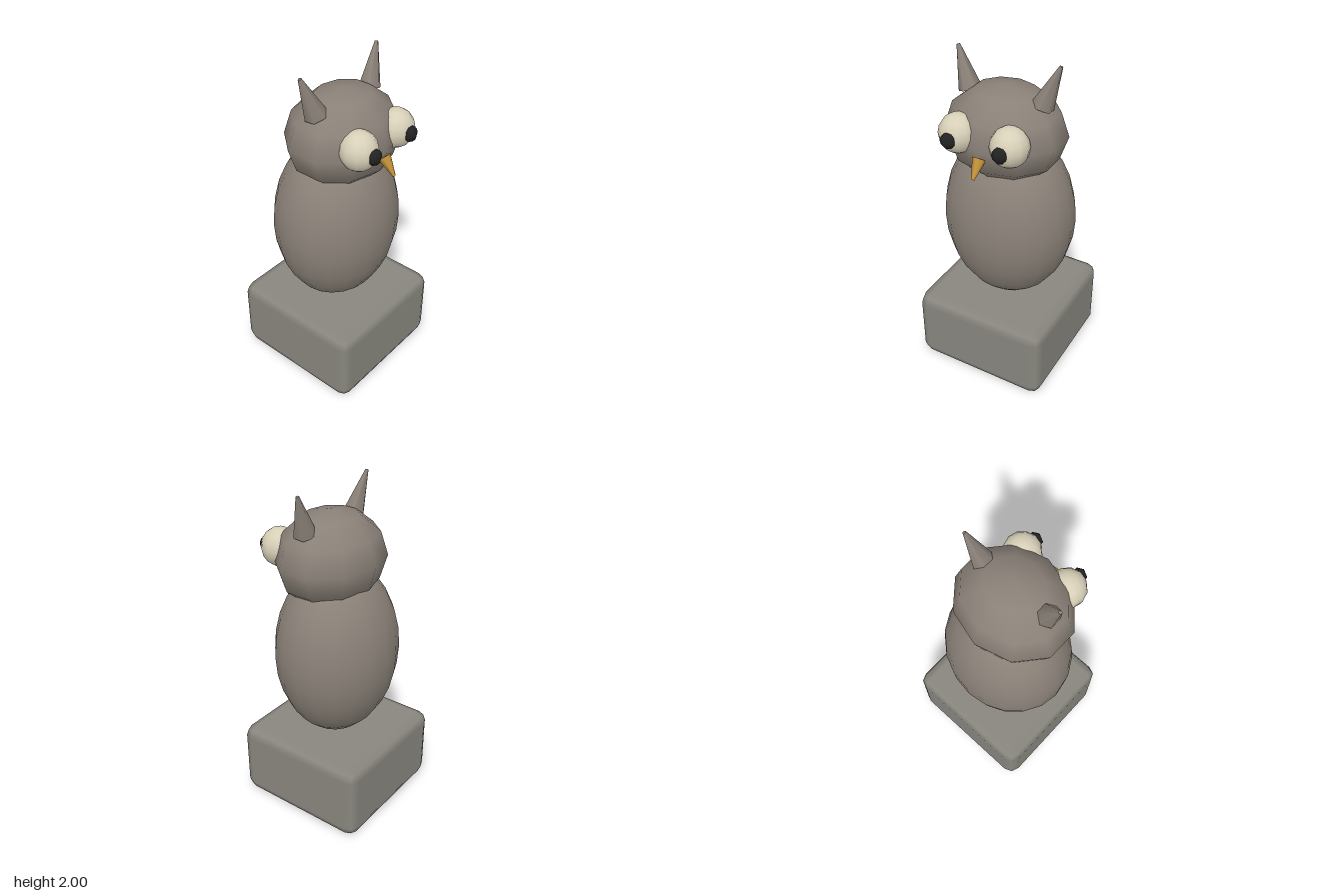
import * as THREE from 'three';
import { RoundedBoxGeometry } from 'three/addons/geometries/RoundedBoxGeometry.js';

const paint = (color) => new THREE.MeshStandardMaterial({ color });

export function createModel() {
  const model = new THREE.Group();
  model.name = 'owlOnBlock';
  const feathers = paint(0x8a8178);
  const stone = paint(0x88867e);
  const cream = paint(0xd8d0b8);
  const black = paint(0x222222);
  const horn = paint(0xc8963c);

  const add = (name, geometry, material, x, y, z) => {
    const mesh = new THREE.Mesh(geometry, material);
    mesh.name = name;
    mesh.position.set(x, y, z);
    model.add(mesh);
    return mesh;
  };

  // Sphere stretched to an ellipsoid, with a column of vertices facing front
  const ellipsoid = (rx, ry, rz, around, up) =>
    new THREE.SphereGeometry(1, around, up).rotateY(Math.PI / 2).scale(rx, ry, rz);

  // Blunt six-sided spike running from a base centre to a tip
  const spike = (name, material, base, tip, baseRadius, tipRadius) => {
    const from = new THREE.Vector3(...base);
    const axis = new THREE.Vector3(...tip).sub(from);
    const length = axis.length();
    const geometry = new THREE.CylinderGeometry(tipRadius, baseRadius, length, 6);
    geometry.translate(0, length / 2, 0);
    const mesh = add(name, geometry, material, ...base);
    mesh.quaternion.setFromUnitVectors(new THREE.Vector3(0, 1, 0), axis.normalize());
  };

  // Block, body and head
  add('base', new RoundedBoxGeometry(0.85, 0.475, 0.85, 1, 0.067), stone, 0, 0.2375, 0);
  add('body', ellipsoid(0.4, 0.545, 0.355, 20, 14), feathers, 0, 1, 0);
  add('head', ellipsoid(0.357, 0.28, 0.305, 10, 6), feathers, 0, 1.57, 0.045);

  // Eyes, pupils and ear tufts, mirrored
  for (const [side, s] of [['left', 1], ['right', -1]]) {
    add(side + 'Eye', ellipsoid(0.109, 0.114, 0.109, 12, 8), cream, s * 0.158, 1.622, 0.284);
    add(side + 'Pupil', ellipsoid(0.046, 0.046, 0.042, 6, 6), black, s * 0.156, 1.62, 0.382);
    spike(side + 'EarTuft', feathers, [s * 0.222, 1.768, 0.05], [s * 0.308, 1.997, 0.022], 0.066, 0.01);
  }

  // Beak pointing down and forward
  spike('beak', horn, [0, 1.53, 0.332], [0, 1.437, 0.403], 0.038, 0.009);

  return model;
}
